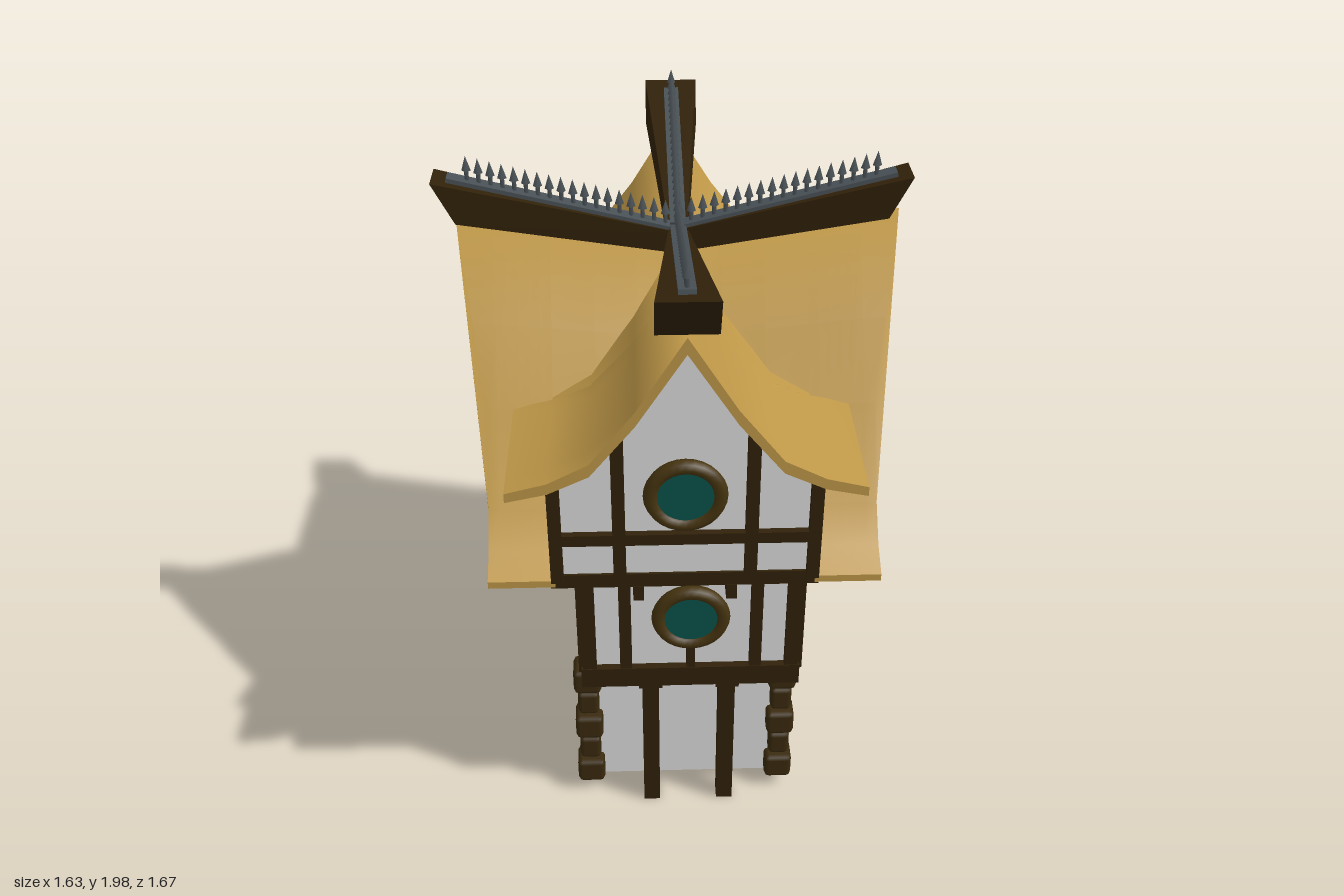
import * as THREE from 'three';
import { toCreasedNormals } from 'three/addons/utils/BufferGeometryUtils.js';
import { RoundedBoxGeometry } from 'three/addons/geometries/RoundedBoxGeometry.js';

const mat = (name, color) => Object.assign(new THREE.MeshStandardMaterial({ color }), { name });
const wall = mat('plaster', 0xdedede), timber = mat('dark timber', 0x302109), trim = mat('brown trim', 0x46340f);
const quoin = mat('corner brown', 0x3a2a0e), thatch = mat('thatch', 0xbf9848), teal = mat('teal glass', 0x0a534b);
const blue = mat('blue glass', 0x587280), iron = mat('iron', 0x495156);

function add(parent, name, geo, material, x = 0, y = 0, z = 0) {
  const m = new THREE.Mesh(geo, material);
  m.name = name;
  m.position.set(x, y, z);
  parent.add(m);
  return m;
}
const box = (p, name, m, w, h, d, x, y, z) => add(p, name, new THREE.BoxGeometry(w, h, d), m, x, y, z);

// Half roof profiles (distance from ridge, height)
const WIDE = { pts: [[0, 1.815], [0.17, 1.56], [0.3, 1.36], [0.45, 1.12], [0.53, 1.03], [0.61, 0.985]], L: 0.6, lean: 0.075 };
const NARROW = { pts: [[0, 1.8], [0.13, 1.59], [0.25, 1.435], [0.36, 1.378], [0.47, 1.35]], L: 0.7, lean: 0 };

function clip(pts, half) {
  const out = [];
  for (let i = 0; i < pts.length; i++) {
    const [x, y] = pts[i];
    if (x <= half) { out.push([x, y]); continue; }
    const [px, py] = pts[i - 1];
    if (px < half) out.push([half, py + (y - py) * (half - px) / (x - px)]);
    break;
  }
  return out;
}
const mirrored = pts => [...pts.slice(1).reverse().map(([x, y]) => [-x, y]), ...pts];

// Extrude along the ridge, letting the ridge sag to the middle and the gable tips lean out
function sagging(outline, prof, from, to) {
  const shape = new THREE.Shape(outline.map(([x, y]) => new THREE.Vector2(x, y)));
  const geo = new THREE.ExtrudeGeometry(shape, { depth: to - from, steps: 6, bevelEnabled: false });
  geo.translate(0, 0, from);
  const p = geo.attributes.position, top = prof.pts[0][1], low = prof.pts[prof.pts.length - 1][1];
  for (let i = 0; i < p.count; i++) {
    const z = p.getZ(i), f = Math.max(0, (p.getY(i) - low) / (top - low)), t = Math.abs(z) / prof.L;
    p.setY(i, p.getY(i) - 0.09 * Math.max(0, 1 - t) * f);
    if (Math.abs(z) > 0.542) p.setZ(i, z + Math.sign(z) * prof.lean * Math.max(0, (f - 0.45) / 0.55));
  }
  return toCreasedNormals(geo, 0.6);
}
function roofPart(parent, prof, half, from, to) {
  const pts = clip(prof.pts, half);
  const under = pts.map(([x, y]) => [x, y - 0.022 - 0.025 * (1 - x / 0.61)]);
  const geo = sagging([...mirrored(pts), ...mirrored(under).reverse()], prof, from, to);
  // soft shading over the ridge
  const p = geo.attributes.position, n = geo.attributes.normal;
  for (let i = 0; i < p.count; i++) if (Math.abs(p.getX(i)) < 0.001 && n.getY(i) > 0.3) n.setXYZ(i, 0, 1, 0);
  add(parent, 'thatchRoof', geo, thatch);
}
function gableWall(parent, name, prof, half, base, from, to) {
  const top = clip(prof.pts, half).map(([x, y]) => [x, y - 0.03]);
  add(parent, name, sagging([...mirrored(top), [half, base], [-half, base]], prof, from, to), wall);
}

// A face of the house: x runs along it, z points outwards
function face(parent, name, angle, dist) {
  const turn = new THREE.Group(), g = new THREE.Group();
  turn.rotation.y = angle;
  g.position.z = dist;
  g.name = name;
  turn.add(g);
  parent.add(turn);
  return g;
}
function bar(p, x1, y1, x2, y2, w = 0.035, d = 0.04) {
  const m = box(p, 'timber', timber, w, Math.hypot(x2 - x1, y2 - y1), d, (x1 + x2) / 2, (y1 + y2) / 2, 0);
  m.rotation.z = Math.atan2(x1 - x2, y2 - y1);
}
function squareWindow(p, x, y) {
  const g = new THREE.Group();
  g.name = 'squareWindow';
  g.position.set(x, y, 0);
  p.add(g);
  box(g, 'pane', blue, 0.12, 0.23, 0.008, 0, 0, 0.016);
  for (const s of [-1, 1]) {
    box(g, 'jamb', timber, 0.026, 0.23, 0.04, s * 0.065, 0, 0.015);
    box(g, 'lintelAndSill', timber, 0.17, 0.042, 0.06, 0, s * 0.12, 0.018);
  }
}
function roundWindow(p, y) {
  add(p, 'roundPane', new THREE.CircleGeometry(0.082, 24), teal, 0, y, 0.025);
  add(p, 'roundFrame', new THREE.TorusGeometry(0.093, 0.021, 8, 28), trim, 0, y, 0.015);
}

// Tapered ridge beam with an iron cresting of spikes
function ridge(parent, shift, reach, endWidth, railEnd, spikeEnd) {
  for (const s of [-1, 1]) {
    const half = new THREE.Group();
    half.name = 'ridgeHalf';
    half.rotation.y = s > 0 ? 0 : Math.PI;
    half.position.z = shift;
    parent.add(half);
    const geo = new THREE.BoxGeometry(1, 1, 1), p = geo.attributes.position;
    for (let i = 0; i < p.count; i++) {
      const end = p.getZ(i) > 0, up = p.getY(i) > 0;
      p.setXYZ(i, p.getX(i) * (end ? endWidth : 0.05), end ? (up ? 1.92 : 1.8) : (up ? 1.755 : 1.69),
        end ? reach - (up ? 0 : 0.06) : -0.01);
    }
    geo.computeVertexNormals();
    add(half, 'ridgeBeam', geo, timber);
    const topAt = t => 1.755 + 0.165 * t / reach;
    const rail = box(half, 'crestRail', iron, 0.045, 0.016, railEnd, 0, topAt(railEnd / 2) + 0.005, railEnd / 2);
    rail.rotation.x = -Math.atan(0.165 / reach);
    const stick = new THREE.CylinderGeometry(0.006, 0.006, 0.04, 4), tip = new THREE.ConeGeometry(0.013, 0.042, 4);
    for (let t = 0.02; t < spikeEnd; t += 0.032) {
      add(half, 'crestStick', stick, iron, 0, topAt(t) + 0.022, t);
      add(half, 'crestTip', tip, iron, 0, topAt(t) + 0.061, t);
    }
  }
}

function arch(half, top) {
  const s = new THREE.Shape();
  s.moveTo(-half, 0.06);
  s.lineTo(half, 0.06);
  s.lineTo(half, top - half);
  s.absarc(0, top - half, half, 0, Math.PI, false);
  s.closePath();
  return s;
}

export function createModel() {
  const model = new THREE.Group(), house = new THREE.Group();
  model.name = 'timberHouse';
  house.name = 'house';
  house.rotation.y = -41 * Math.PI / 180;
  model.add(house);
  const cross = new THREE.Group();
  cross.name = 'crossWing';
  cross.rotation.y = Math.PI / 2;
  house.add(cross);
  const middle = new THREE.Group();
  middle.name = 'middleStorey';
  middle.position.set(0.019, 0, -0.006);
  house.add(middle);

  // Ground floor walls, open underneath
  for (const s of [-1, 1]) {
    box(house, 'groundSideWall', wall, 0.008, 0.5, 0.97, s * 0.296 + 0.005, 0.29, -0.045);
    box(house, 'groundEndWall', wall, 0.6, 0.5, 0.008, 0.005, 0.29, s * 0.481 - 0.045);
  }

  // Upper storeys and floor bands
  box(middle, 'middleFloor', wall, 0.62, 0.42, 1.08, 0, 0.77, 0);
  box(middle, 'lowerBand', timber, 0.645, 0.07, 1.125, 0, 0.565, 0);
  box(house, 'upperBand', timber, 0.745, 0.045, 1.25, 0, 0.975, -0.0225);
  gableWall(house, 'upperFloor', NARROW, 0.365, 0.98, -0.632, 0.595);
  gableWall(cross, 'crossWingWall', WIDE, 0.5, 0.98, -0.367, 0.367);
  gableWall(cross, 'oriel', WIDE, 0.2, 1.15, -0.537, 0.537);

  // Roofs: full eaves outside, trimmed where the wings cross
  roofPart(house, NARROW, 0.36, -0.3, 0.3);
  roofPart(cross, WIDE, 0.36, -0.36, 0.36);
  for (const s of [-1, 1]) {
    roofPart(house, NARROW, 0.47, s > 0 ? 0.29 : -0.7, s > 0 ? 0.7 : -0.29);
    roofPart(cross, WIDE, 0.61, s > 0 ? 0.36 : -0.545, s > 0 ? 0.545 : -0.36);
  }
  ridge(house, 0, 0.745, 0.16, 0.69, 0.67);
  ridge(cross, -0.015, 0.66, 0.106, 0.63, 0.57);

  // Corner blocks
  for (const x of [-0.292, 0.304]) for (const z of [-0.53, 0.442]) for (let i = 0; i < 5; i++) {
    const [w, d] = i % 2 ? [0.065, 0.07] : [0.085, 0.09];
    add(house, 'cornerBlock', new RoundedBoxGeometry(w, 0.088, d, 1, 0.015), quoin, x, 0.09 + i * 0.096, z);
  }

  // Broad sides with square windows and oriel
  for (const a of [Math.PI / 2, -Math.PI / 2]) {
    const mid = face(middle, 'broadSide', a, 0.31);
    for (const s of [-1, 1]) {
      bar(mid, s * 0.53, 0.58, s * 0.53, 0.97, 0.04);
      bar(mid, s * 0.34, 0.58, s * 0.34, 0.97);
      const brace = [[0.515, 0.95], [0.48, 0.8], [0.43, 0.69], [0.36, 0.6]];
      for (let i = 0; i < 3; i++) bar(mid, s * brace[i][0], brace[i][1], s * brace[i + 1][0], brace[i + 1][1], 0.032);
      squareWindow(mid, s * 0.145, 0.78);
    }
    const up = face(house, 'upperBroadSide', a, 0.367);
    for (const s of [-1, 1]) bar(up, s * 0.34, 0.98, s * 0.34, 1.25);
    const oriel = face(house, 'orielFront', a, 0.537);
    box(oriel, 'orielSill', timber, 0.43, 0.035, 0.18, 0, 1.15, -0.07);
    for (const s of [-1, 1]) bar(oriel, s * 0.195, 1.15, s * 0.195, 1.47, 0.03);
    squareWindow(oriel, 0, 1.382);
  }

  // Narrow gable ends with round windows
  for (const [a, upDist] of [[0, 0.595], [Math.PI, 0.632]]) {
    const mid = face(middle, 'narrowEnd', a, 0.54), up = face(house, 'gableEnd', a, upDist);
    for (const s of [-1, 1]) {
      bar(mid, s * 0.297, 0.58, s * 0.297, 0.97, 0.04);
      bar(mid, s * 0.19, 0.58, s * 0.19, 0.97);
      bar(up, s * 0.353, 0.98, s * 0.353, 1.34, 0.035);
      bar(up, s * 0.18, 0.98, s * 0.18, 1.48);
      box(up, 'corbel', timber, 0.03, 0.05, 0.06, s * 0.13, 0.93, -0.02);
    }
    bar(mid, 0, 0.58, 0, 0.7, 0.025);
    bar(up, -0.36, 1.125, 0.36, 1.125, 0.035);
    if (a) for (const y of [0.635, 0.93]) bar(mid, -0.3, y, 0.3, y, 0.03);
    roundWindow(mid, 0.79);
    roundWindow(up, 1.27);
  }

  // Posts under the overhang, one set into the wall at head and foot
  for (const x of [-0.1, 0.13]) {
    box(house, 'post', timber, 0.05, 0.53, 0.05, x, 0.265, 0.497);
    box(house, 'postHead', timber, 0.07, 0.03, 0.08, x, 0.515, 0.497);
  }
  for (const y of [0.1, 0.43]) box(house, 'postTenon', timber, 0.05, 0.18, 0.06, -0.1, y, 0.455);

  // Arched door with straps, knob and a half-round step
  const entry = face(house, 'entry', Math.PI, 0.53);
  const frame = arch(0.17, 0.515);
  frame.holes.push(arch(0.115, 0.46));
  add(entry, 'doorFrame', new THREE.ExtrudeGeometry(frame, { depth: 0.06, bevelEnabled: false }), trim, 0, 0, -0.01);
  add(entry, 'door', new THREE.ExtrudeGeometry(arch(0.117, 0.462), { depth: 0.02, bevelEnabled: false }), timber);
  for (const y of [0.18, 0.29]) box(entry, 'strap', iron, 0.19, 0.03, 0.012, 0, y, 0.025);
  add(entry, 'knob', new THREE.SphereGeometry(0.014, 10, 8), thatch, 0.07, 0.23, 0.035);
  add(entry, 'step', new THREE.CylinderGeometry(0.21, 0.21, 0.05, 6, 1, false, -Math.PI / 2, Math.PI), trim, 0, 0.066, 0);
  return model;
}
